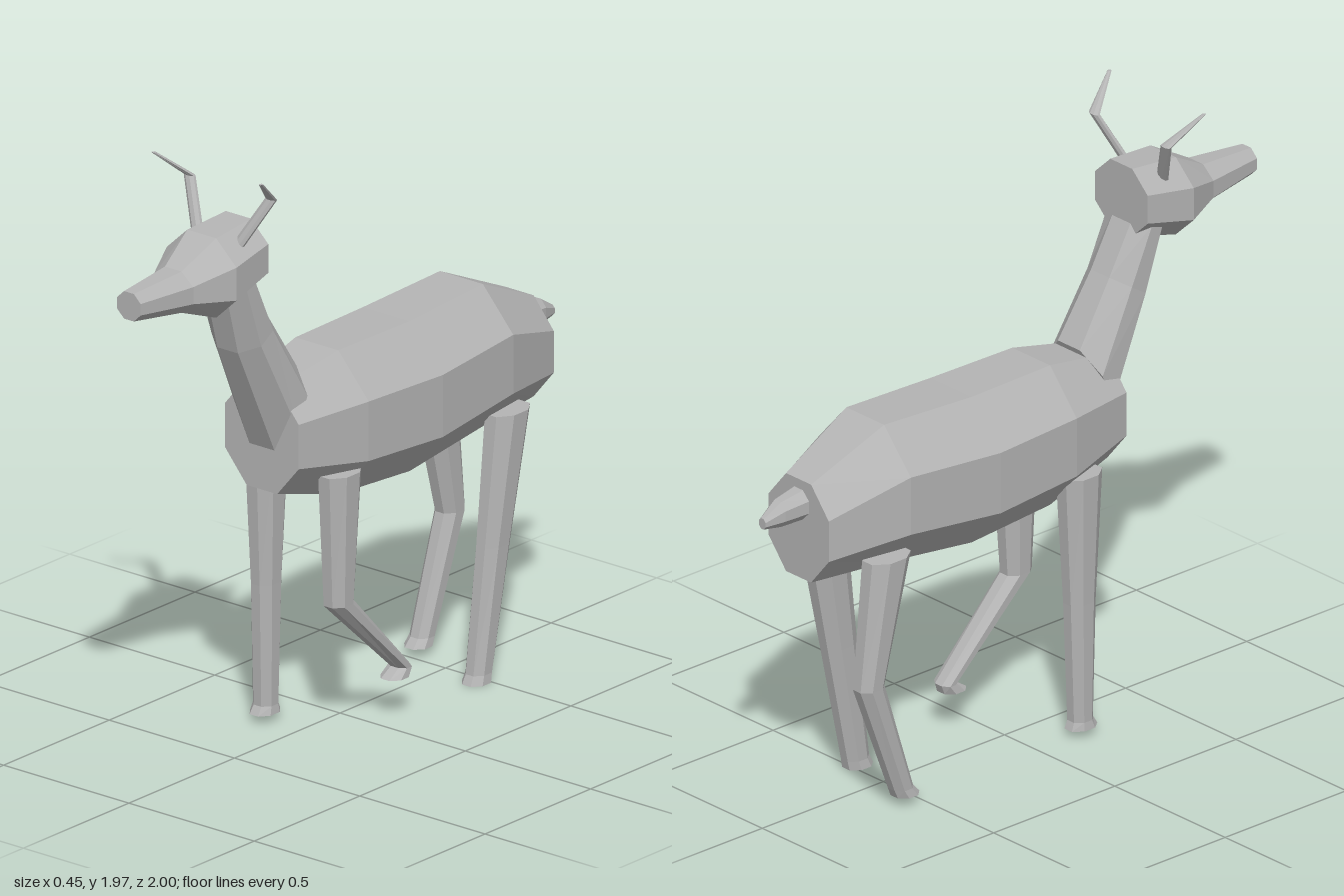
import * as THREE from 'three';

const coat = new THREE.MeshStandardMaterial({ color: 0xb4b4b4, flatShading: true });
coat.name = 'grey coat';

const SIDES = 8;

// Lofts eight-sided rings into a closed, faceted limb.
// ring = [centre x, half width, z0, y0, z1, y1]: two opposite flats of the ring in the side plane
function loft(name, rings) {
  const mid = rings.map(([x, , z0, y0, z1, y1]) => new THREE.Vector3(x, (y0 + y1) / 2, (z0 + z1) / 2));
  const [, , z0, y0, z1, y1] = rings[0];
  const axis = new THREE.Vector3(0, z0 - z1, y1 - y0);
  const turn = axis.dot(mid[1].clone().sub(mid[0])) < 0 ? -1 : 1;
  const grow = 1 / Math.cos(Math.PI / SIDES);
  const pos = [], index = [];
  rings.forEach(([x, w, za, ya, zb, yb], r) => {
    for (let k = 0; k < SIDES; k++) {
      const a = turn * (k + 0.5) * 2 * Math.PI / SIDES;
      const s = Math.sin(a) * grow / 2;
      pos.push(x + Math.cos(a) * grow * w, mid[r].y + s * (yb - ya), mid[r].z + s * (zb - za));
    }
  });
  const top = (rings.length - 1) * SIDES;
  for (let k = 0; k < SIDES; k++) {
    const n = (k + 1) % SIDES;
    for (let o = 0; o < top; o += SIDES) {
      index.push(o + k, o + n, o + SIDES + n, o + k, o + SIDES + n, o + SIDES + k);
    }
    // End caps as fans
    if (k > 0 && k < SIDES - 1) index.push(0, n, k, top, top + k, top + n);
  }
  const indexed = new THREE.BufferGeometry();
  indexed.setAttribute('position', new THREE.Float32BufferAttribute(pos, 3));
  indexed.setIndex(index);
  const geo = indexed.toNonIndexed();
  geo.computeVertexNormals();
  const mesh = new THREE.Mesh(geo, coat);
  mesh.name = name;
  return mesh;
}

// Upright ring for parts running front to back
const upright = ([z, w, bottom, top]) => [0, w, z, bottom, z, top];
// Level ring for legs and antlers
const level = (x, w, y, back, front) => [x, w, back, y, front, y];

export function createModel() {
  const model = new THREE.Group();
  model.name = 'deer';

  // Trunk, head and tail
  model.add(loft('body', [
    [0.37, 0.147, 0.84, 1.19],
    [0.11, 0.207, 0.77, 1.24],
    [-0.22, 0.225, 0.75, 1.24],
    [-0.575, 0.207, 0.79, 1.255],
    [-0.85, 0.137, 0.8, 1.13],
  ].map(upright)));

  model.add(loft('head', [
    [0.482, 0.12, 1.545, 1.772],
    [0.655, 0.139, 1.5, 1.76],
    [0.79, 0.08, 1.55, 1.685],
    [1.0, 0.047, 1.58, 1.67],
  ].map(upright)));

  model.add(loft('tail', [
    [-0.83, 0.05, 1.0, 1.102],
    [-0.935, 0.035, 1.0, 1.083],
    [-1.0, 0.015, 1.008, 1.043],
  ].map(upright)));

  // Neck, its rings tilted across its length
  model.add(loft('neck', [
    [0, 0.12, 0.266, 1.228, 0.37, 0.98],
    [0, 0.1, 0.395, 1.43, 0.532, 1.343],
    [0, 0.1, 0.49, 1.6, 0.59, 1.56],
  ]));

  // Legs: rows are half width, height, back z, front z
  const legs = [
    ['leftFrontLeg', 1, [
      [0.055, 0.88, 0.1, 0.25], [0.042, 0.45, 0.13, 0.23],
      [0.037, 0.162, -0.14, -0.085], [0.041, 0.133, -0.13, -0.04],
    ]],
    ['rightFrontLeg', -1, [
      [0.055, 0.88, 0.1, 0.25], [0.042, 0.45, 0.125, 0.228],
      [0.037, 0.052, 0.14, 0.218], [0.041, 0.025, 0.13, 0.235],
    ]],
    ['leftHindLeg', 1, [
      [0.055, 0.85, -0.7, -0.54], [0.042, 0.43, -0.612, -0.492],
      [0.037, 0.03, -0.528, -0.44], [0.041, 0, -0.522, -0.425],
    ]],
    ['rightHindLeg', -1, [
      [0.055, 0.85, -0.7, -0.54], [0.042, 0.43, -0.743, -0.645],
      [0.037, 0.055, -0.6, -0.525], [0.041, 0.027, -0.588, -0.5],
    ]],
  ];
  for (const [name, side, rows] of legs) {
    model.add(loft(name, rows.map(([w, y, back, front]) => level(side * 0.146, w, y, back, front))));
  }

  // Antlers, each bent forward at the middle
  for (const [name, side] of [['leftAntler', 1], ['rightAntler', -1]]) {
    model.add(loft(name, [
      level(side * 0.075, 0.021, 1.71, 0.57, 0.595),
      level(side * 0.163, 0.02, 1.875, 0.508, 0.53),
      level(side * 0.214, 0.006, 1.967, 0.622, 0.635),
    ]));
  }
  return model;
}
